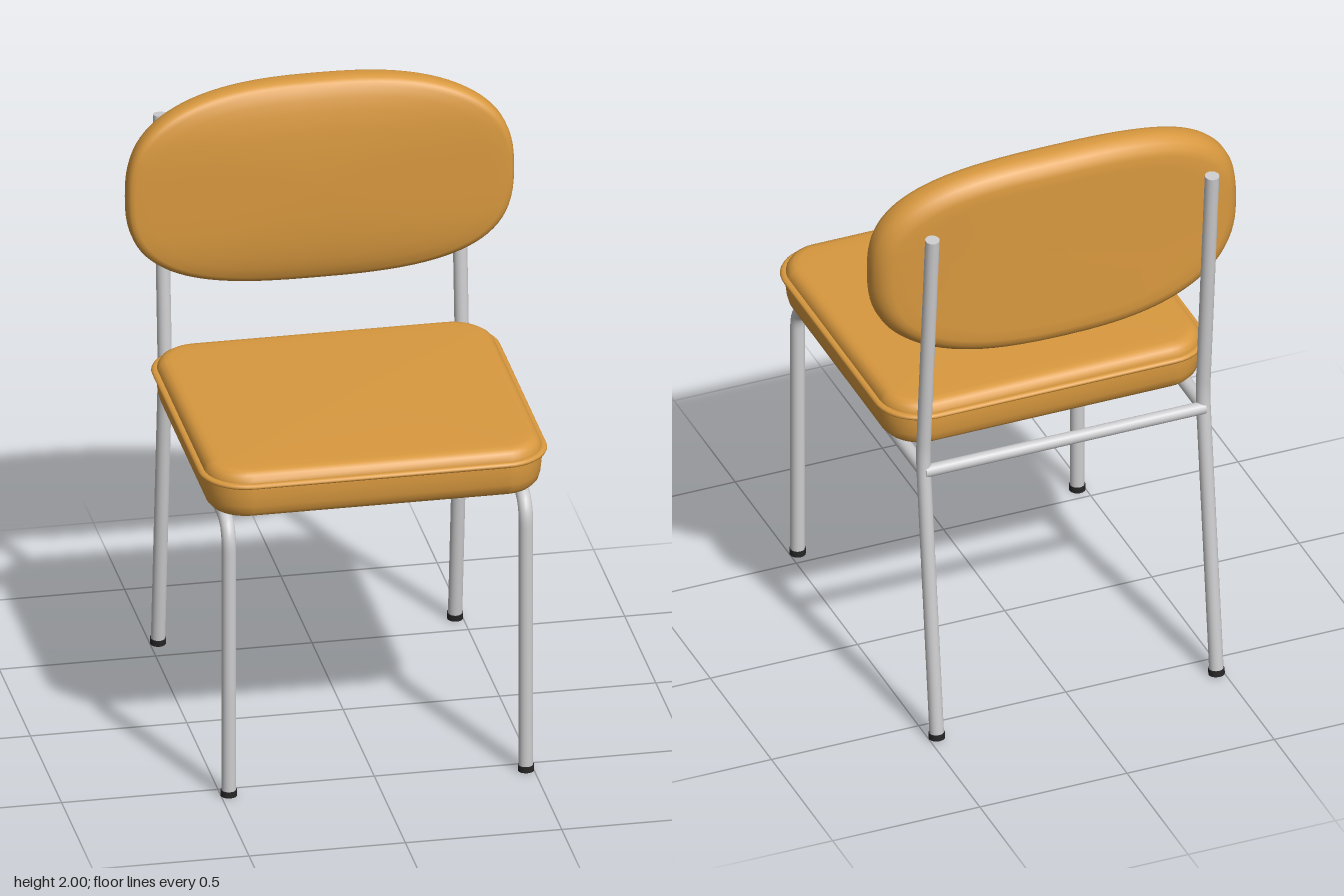
import * as THREE from 'three';

const fabric = new THREE.MeshStandardMaterial({ color: 0xd9993f });
fabric.name = 'mustard upholstery';
const steel = new THREE.MeshStandardMaterial({ color: 0xcdcdcf });
steel.name = 'steel tube';
const rubber = new THREE.MeshStandardMaterial({ color: 0x262626 });
rubber.name = 'dark rubber';

const V = (x, y, z) => new THREE.Vector3(x, y, z);
const R = 0.023; // tube radius

function part(name, geometry, material) {
  const mesh = new THREE.Mesh(geometry, material);
  mesh.name = name;
  return mesh;
}

// Smooth skin over a series of closed rings with equal point counts
function skin(rings) {
  const n = rings[0].length, index = [];
  for (let k = 0; k < rings.length - 1; k++) {
    for (let i = 0; i < n; i++) {
      const a = k * n + i, b = k * n + (i + 1) % n;
      index.push(a, a + n, b, b, a + n, b + n);
    }
  }
  const geo = new THREE.BufferGeometry().setFromPoints(rings.flat());
  geo.setIndex(index);
  geo.computeVertexNormals();
  return geo;
}

// Rounded-square seat outline, inset by d, scaled about its middle, at height y
function seatRing(d, y, scale = 1) {
  const hx = 0.54, hz = 0.505, r = 0.135, steps = 10, pts = [];
  for (let c = 0; c < 4; c++) {
    const sx = c === 0 || c === 3 ? 1 : -1, sz = c < 2 ? 1 : -1;
    for (let i = 0; i <= steps; i++) {
      const a = (c + i / steps) * Math.PI / 2;
      const x = sx * (hx - r) + (r - d) * Math.cos(a);
      const z = sz * (hz - r) + (r - d) * Math.sin(a);
      pts.push(V(x * scale, y, z * scale + 0.097));
    }
  }
  return pts;
}

function seat() {
  const g = new THREE.Group();
  g.name = 'seat';
  const rings = [
    [0.05, 0.97, 0], [0.05, 0.97, 0.9], [0.045, 0.97], [0.025, 0.975], [0.011, 0.99], [0.004, 1.015],
    [0, 1.05], [0, 1.09], [0.003, 1.105], [0.012, 1.12], [0.026, 1.129], [0.045, 1.132],
    [0.06, 1.133, 0.95], [0.06, 1.138, 0.5], [0.06, 1.14, 0],
  ].map((p) => seatRing(...p));
  g.add(part('seatCushion', skin(rings), fabric));

  // Piping runs round the cushion
  const piping = [];
  for (let k = 0; k <= 10; k++) {
    const a = -Math.PI + k / 10 * Math.PI * 2;
    piping.push(seatRing(-0.004 - 0.013 * Math.cos(a), 1.089 + 0.009 * Math.sin(a)));
  }
  g.add(part('seatPiping', skin(piping), fabric));
  return g;
}

// Oval pad: gently domed front, cylindrically curved back
function backrest() {
  const A = 0.62, B = 0.345, N = 96, power = 2 / 2.7;
  const ring = (d, t, scale = 1) => {
    const pts = [];
    for (let i = 0; i < N; i++) {
      const a = i / N * Math.PI * 2, c = Math.cos(a), s = Math.sin(a);
      const x = scale * (A - d) * Math.sign(c) * Math.abs(c) ** power;
      const y = scale * (B - d) * Math.sign(s) * Math.abs(s) ** power;
      const front = -0.343 - 0.045 * (y / B) ** 4;
      const back = -0.5 + 0.055 * (x / A) ** 2;
      pts.push(V(x, 1.655 + y, THREE.MathUtils.lerp(front, back, t)));
    }
    return pts;
  };
  const rings = [
    [0.03, 0, 0], [0.03, 0, 0.3], [0.03, 0, 0.6], [0.03, 0, 0.8], [0.03, 0, 0.92], [0.025, 0],
    [0.012, 0.04], [0.004, 0.12], [0, 0.25], [0, 0.5], [0.006, 0.68], [0.018, 0.84], [0.034, 0.95],
    [0.055, 1], [0.06, 1, 0.9], [0.06, 1, 0.6], [0.06, 1, 0.3], [0.06, 1, 0],
  ].map((p) => ring(...p));
  return part('backrest', skin(rings), fabric);
}

// Tube through three points with a rounded bend at the middle one
function bentTube(name, a, corner, b, bend) {
  const p = corner.clone().add(a.clone().sub(corner).setLength(bend));
  const q = corner.clone().add(b.clone().sub(corner).setLength(bend));
  const path = new THREE.CurvePath();
  path.add(new THREE.LineCurve3(a, p));
  path.add(new THREE.QuadraticBezierCurve3(p, corner, q));
  path.add(new THREE.LineCurve3(q, b));
  return part(name, new THREE.TubeGeometry(path, 120, R, 16), steel);
}

// Short cylinder centred on a point and aligned with a direction
function plug(name, at, dir, radius, height, material) {
  const mesh = part(name, new THREE.CylinderGeometry(radius, radius, height, 16), material);
  mesh.position.copy(at);
  mesh.quaternion.setFromUnitVectors(V(0, 1, 0), dir.clone().normalize());
  return mesh;
}

function sideFrame(x, side) {
  const g = new THREE.Group();
  g.name = side + 'Frame';
  const frontFoot = V(x, 0.01, 0.55), backFoot = V(x, 0.012, -0.588);
  const kink = V(x, 0.99, -0.476), top = V(x, 1.85, -0.552);
  g.add(bentTube('frontLegAndRail', frontFoot, V(x, 0.943, 0.55), V(x, 0.943, -0.478), 0.09));
  g.add(bentTube('backLegAndUpright', backFoot, kink, top, 0.06));
  g.add(plug('uprightCap', top, top.clone().sub(kink), R, 0.004, steel));
  g.add(plug('frontFoot', V(x, 0.01, 0.55), V(0, 1, 0), 0.026, 0.02, rubber));
  g.add(plug('backFoot', V(x, 0.012, -0.588), kink.clone().sub(backFoot), 0.026, 0.02, rubber));
  return g;
}

export function createModel() {
  const model = new THREE.Group();
  model.name = 'chair';
  model.add(seat(), backrest());
  model.add(sideFrame(0.475, 'left'), sideFrame(-0.475, 'right'));

  // Cross bar between the back legs
  model.add(plug('backCrossBar', V(0, 0.943, -0.489), V(1, 0, 0), 0.021, 0.95, steel));
  return model;
}
